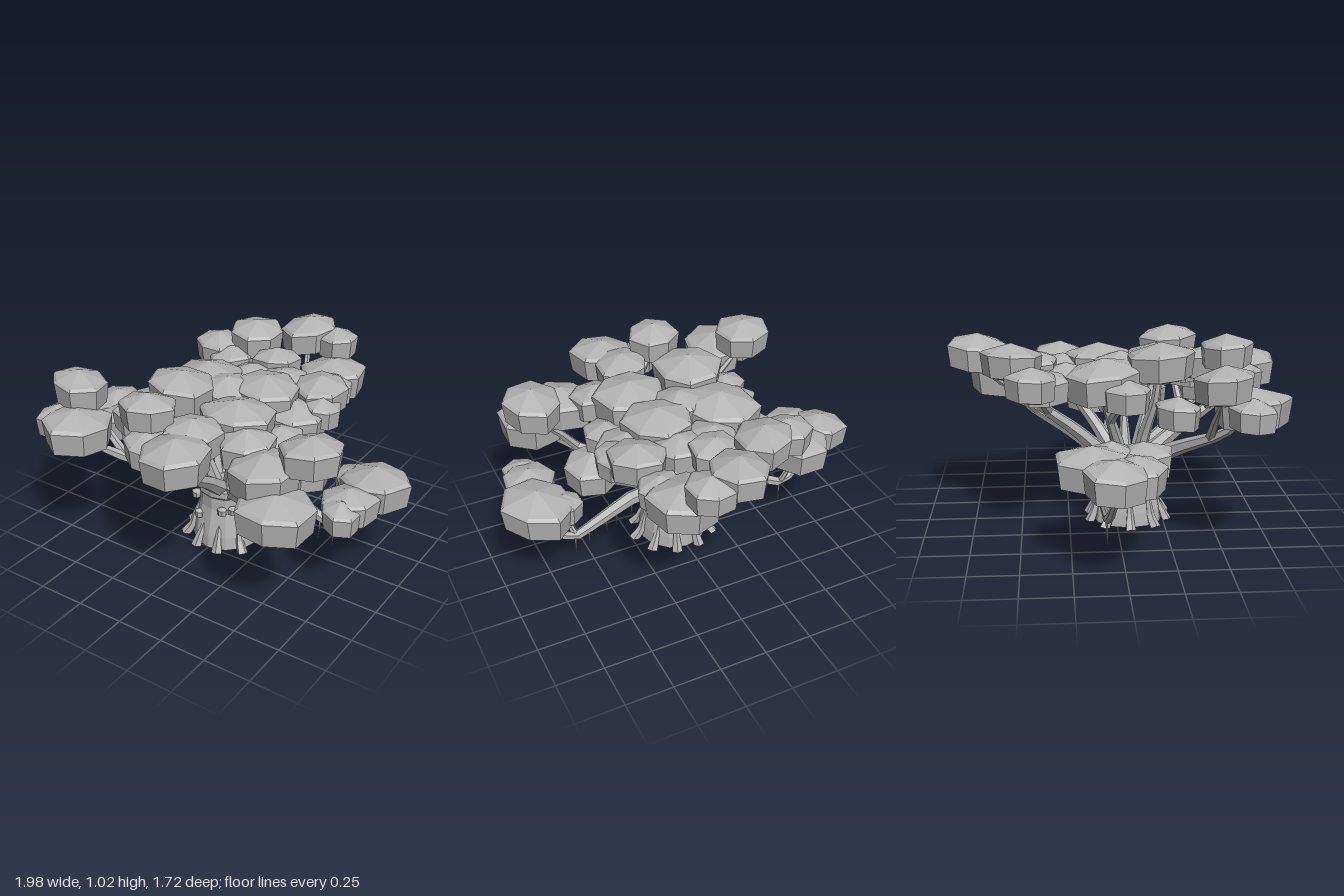
import * as THREE from 'three';

const grey = new THREE.MeshStandardMaterial({ color: 0xb2b2b2, flatShading: true, side: THREE.DoubleSide });
grey.name = 'plain grey';

const V = (x, y, z) => new THREE.Vector3(x, y, z);

function add(parent, name, geometry) {
  const mesh = new THREE.Mesh(geometry, grey);
  mesh.name = name;
  parent.add(mesh);
  return mesh;
}

// Tapered, kinked limb through a few points
function limb(points, r0, r1, sides = 6) {
  const curve = new THREE.CatmullRomCurve3(points, false, 'catmullrom', 0.15);
  const segs = (points.length - 1) * 3;
  const geo = new THREE.TubeGeometry(curve, segs, 1, sides);
  const pos = geo.attributes.position, v = V(0, 0, 0);
  for (let i = 0; i <= segs; i++) {
    const c = curve.getPointAt(i / segs), r = r0 + (r1 - r0) * i / segs;
    for (let j = 0; j <= sides; j++) {
      const k = i * (sides + 1) + j;
      v.fromBufferAttribute(pos, k).sub(c).multiplyScalar(r).add(c);
      pos.setXYZ(k, v.x, v.y, v.z);
    }
  }
  return geo;
}

// Seven-sided leaf clump: peaked roof, upright sides, shallow pointed underside
function clump(r, h, seed) {
  const profile = [[0, -0.5], [0.92, -0.34], [1, 0.2], [0.9, 0.27], [0, 0.5]]
    .map(([a, b]) => new THREE.Vector2(a * r, b * h));
  const geo = new THREE.LatheGeometry(profile, 7, seed * 1.3);
  const pos = geo.attributes.position;
  for (let i = 0; i < pos.count; i++) {
    const x = pos.getX(i), z = pos.getZ(i), a = Math.atan2(z, x);
    const k = 1 + 0.06 * Math.sin(2 * a + seed * 2.1) + 0.04 * Math.sin(3 * a + seed);
    pos.setXYZ(i, x * k, pos.getY(i) + 0.08 * x * Math.sin(seed) + 0.08 * z * Math.cos(seed * 1.7), z * k);
  }
  return geo;
}

// Clusters of clumps as x, z, radius, top. A limb grows to the first, a fork to the second.
const CLUSTERS = [
  [[0.25, -0.6, 0.18, 0.85], [0.03, -0.71, 0.155, 1.01], [0.19, -0.74, 0.12, 0.97], [0.32, -0.47, 0.11, 0.83]],
  [[-0.2, -0.53, 0.15, 1.0], [-0.39, -0.43, 0.13, 0.92], [0, -0.42, 0.13, 0.92], [-0.27, -0.38, 0.13, 0.88]],
  [[0.35, -0.28, 0.15, 0.9], [0.32, -0.08, 0.16, 0.83], [0.43, -0.17, 0.1, 0.84]],
  [[0.15, -0.08, 0.18, 0.93], [0.12, -0.27, 0.15, 0.88], [-0.07, -0.26, 0.14, 0.87]],
  [[-0.21, -0.07, 0.2, 0.92], [-0.33, 0.03, 0.13, 0.84], [-0.02, 0.03, 0.14, 0.92]],
  [[-0.17, 0.22, 0.18, 0.99]],
  [[0.17, 0.22, 0.19, 0.92], [0.35, 0.12, 0.13, 0.78]],
  [[0.13, 0.69, 0.18, 0.91], [-0.12, 0.56, 0.14, 1.02], [0.1, 0.5, 0.15, 0.92], [-0.06, 0.65, 0.12, 0.87]],
  [[0.6, 0.56, 0.19, 0.71], [0.66, 0.35, 0.16, 0.93], [0.47, 0.46, 0.18, 0.83], [0.31, 0.36, 0.14, 0.86]],
  [[-0.53, 0.62, 0.18, 0.84], [-0.63, 0.47, 0.15, 0.97], [-0.42, 0.28, 0.12, 0.77], [-0.67, 0.6, 0.11, 0.82]],
];

// Low clumps beside the trunk and above the drooping limbs
const LOW = [
  [0.8, -0.06, 0.185, 0.61], [0.77, 0.16, 0.14, 0.59], [0.67, -0.08, 0.1, 0.56], [0.78, 0.26, 0.1, 0.57],
  [0.45, 0.07, 0.15, 0.65],
  [-0.65, -0.15, 0.18, 0.6], [-0.84, -0.05, 0.155, 0.59], [-0.72, 0.05, 0.15, 0.57],
  [-0.5, 0.1, 0.15, 0.57], [-0.51, -0.05, 0.12, 0.58],
];

const clumpHeight = r => 0.105 + 0.65 * r;
const clumpCentre = ([x, z, r, top]) => V(x, top - clumpHeight(r) / 2, z);

// Path that leaves the trunk, flattens out and turns up into its clump
function rise(start, end) {
  const mid = (t, lift) => start.clone().lerp(end, t).setY(start.y + (end.y - start.y) * lift);
  return [start, mid(0.4, 0.36), mid(0.78, 0.64), end];
}

function addVine(tree, top, length, i) {
  const sway = 0.015 * Math.sin(i * 2.3);
  const middle = top.clone().add(V(sway, -length / 2, 0));
  const tip = top.clone().add(V(sway * 0.6, -length, sway));
  add(tree, 'vine', limb([top, middle, tip], 0.007, 0.002, 4));
}

export function createModel() {
  const tree = new THREE.Group();
  tree.name = 'tree';
  const base = new THREE.Group();
  base.name = 'trunkBase';
  base.position.set(0, 0, 0.065);
  tree.add(base);

  // Flared trunk with a thin collar at the top
  const outline = [[0, 0], [0.19, 0], [0.182, 0.07], [0.165, 0.15], [0.15, 0.22], [0.15, 0.29],
    [0.157, 0.3], [0.157, 0.335], [0.11, 0.345], [0, 0.35]];
  add(base, 'trunk', new THREE.LatheGeometry(outline.map(p => new THREE.Vector2(...p)), 12));

  // Pointed buttress roots
  for (let i = 0; i < 10; i++) {
    const a = (i + 0.5) / 10 * Math.PI * 2, h = 0.13 + 0.03 * (i % 3);
    const far = 0.205 + 0.03 * Math.abs(Math.sin(a));
    const path = [[0.145, h + 0.03], [0.175, h * 0.62], [0.19, 0.05], [far, -0.005]]
      .map(([r, y]) => V(r * Math.sin(a), y, r * Math.cos(a)));
    const geo = limb(path, 0.004, 0.03, 5);
    const pos = geo.attributes.position;
    for (let k = 0; k < pos.count; k++) pos.setY(k, Math.max(0, pos.getY(k)));
    add(base, 'root', geo);
  }

  // Small bracket mushrooms: angle, height
  for (const [a, y] of [[-0.95, 0.25], [-0.55, 0.165], [0.42, 0.23], [0.77, 0.235]]) {
    const cap = add(base, 'mushroom', clump(0.027, 0.055, a));
    cap.position.set(Math.sin(a) * 0.165, y, Math.cos(a) * 0.165);
  }

  // Limbs and forks that carry the canopy
  for (const [first, second] of CLUSTERS) {
    const end = clumpCentre(first);
    const reach = Math.hypot(end.x, end.z);
    const path = rise(V(0.06 * end.x / reach, 0.3, 0.06 + 0.06 * end.z / reach), end);
    add(tree, 'branch', limb(path, 0.034 + 0.024 * reach, 0.016));
    if (second) add(tree, 'fork', limb(rise(path[1].clone().lerp(path[2], 0.7), clumpCentre(second)), 0.027, 0.012));
  }

  // Drooping side limbs, each with a fork, a row of vines and a short limb above
  for (const side of [-1, 1]) {
    const z = side < 0 ? -0.08 : -0.02;
    const elbow = V(side * 0.6, 0.215, z);
    const path = [V(side * 0.08, 0.305, 0.05), V(side * 0.27, 0.345, 0), elbow,
      V(side * 0.7, 0.262, z + 0.01), V(side * 0.8, 0.375, z + 0.03)];
    add(tree, 'lowBranch', limb(path, 0.047, 0.016));
    const tip = V(side * 0.68, 0.46, z + side * 0.07);
    add(tree, 'fork', limb([elbow, elbow.clone().lerp(tip, 0.5), tip], 0.018, 0.008));
    add(tree, 'branch', limb(rise(V(side * 0.06, 0.3, 0.06), V(side * 0.46, 0.53, 0.08)), 0.04, 0.016));
    for (let i = 0; i < 5; i++) {
      addVine(tree, path[1].clone().lerp(elbow, i / 4), 0.12 + 0.02 * Math.sin(i * 2 + side), i);
    }
  }

  // Leaf canopy
  [...CLUSTERS.flat(), ...LOW].forEach((c, i) => {
    add(tree, 'leafClump', clump(c[2], clumpHeight(c[2]), i + 1)).position.copy(clumpCentre(c));
  });
  return tree;
}
